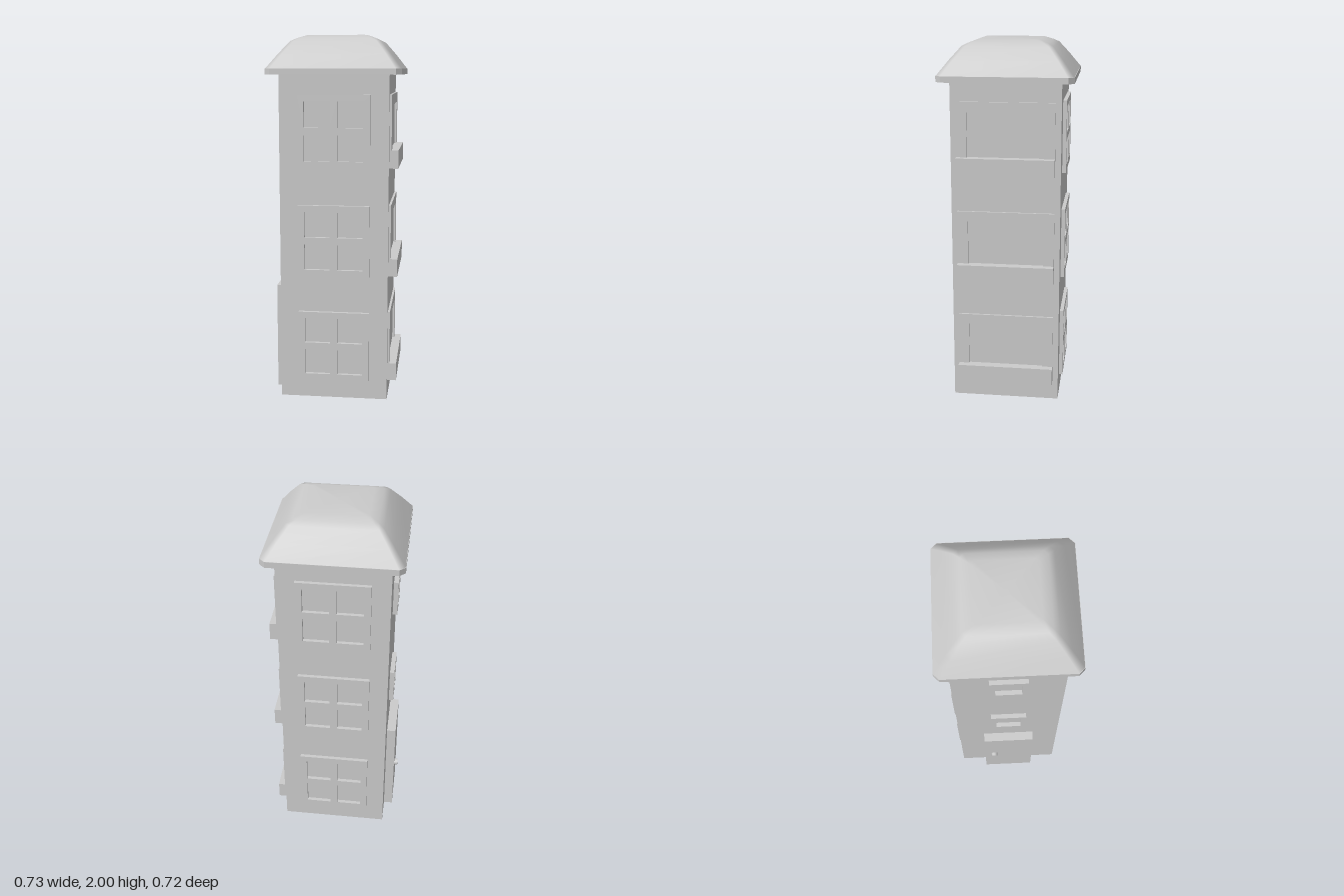
import * as THREE from 'three';

const material = new THREE.MeshStandardMaterial({ color: 0xcccccc });
const HALF = 0.296; // half width of the tower
const STOREY = 0.595;

function mesh(name, geometry, parent) {
  const m = new THREE.Mesh(geometry, material);
  m.name = name;
  parent.add(m);
  return m;
}

// Box given by its minimum and maximum corners
function box(name, [x0, y0, z0], [x1, y1, z1], parent) {
  const m = mesh(name, new THREE.BoxGeometry(x1 - x0, y1 - y0, z1 - z0), parent);
  m.position.set((x0 + x1) / 2, (y0 + y1) / 2, (z0 + z1) / 2);
  return m;
}

function trace(path, x0, y0, x1, y1) {
  path.moveTo(x0, y0).lineTo(x1, y0).lineTo(x1, y1).lineTo(x0, y1).closePath();
  return path;
}

// Flat frame with rectangular openings, facing +z
function frameGeometry(outer, openings, depth) {
  const shape = trace(new THREE.Shape(), ...outer);
  for (const o of openings) shape.holes.push(trace(new THREE.Path(), ...o));
  return new THREE.ExtrudeGeometry(shape, { depth, bevelEnabled: false });
}

// Group whose local +z points out of one wall
function wallGroup(name, angle, parent) {
  const g = new THREE.Group();
  g.name = name;
  g.rotation.y = angle;
  parent.add(g);
  return g;
}

// Closed loft through square rings with cut corners: [half width, cut, height]
function loft(rings) {
  const pos = [], index = [];
  for (const [h, c, y] of rings) {
    const k = h - c;
    for (const [x, z] of [[h, k], [h, -k], [k, -h], [-k, -h], [-h, -k], [-h, k], [-k, h], [k, h]]) pos.push(x, y, z);
  }
  const last = (rings.length - 1) * 8;
  pos.push(0, rings[0][2], 0, 0, rings[rings.length - 1][2], 0);
  for (let i = 0; i < 8; i++) {
    const j = (i + 1) % 8;
    for (let r = 0; r < last; r += 8) {
      index.push(r + i, r + j, r + 8 + j, r + i, r + 8 + j, r + 8 + i);
    }
    index.push(last + 8, j, i, last + 9, last + i, last + j);
  }
  const g = new THREE.BufferGeometry();
  g.setAttribute('position', new THREE.Float32BufferAttribute(pos, 3));
  g.setIndex(index);
  return g;
}

export function createModel() {
  const model = new THREE.Group();
  model.name = 'tower';

  box('walls', [-HALF, 0, -HALF], [HALF, 1.79, HALF], model);

  // Roof: flat eave slab and a softly shaded dome
  const eave = loft([[0.362, 0.03, 1.79], [0.362, 0.03, 1.822]]).toNonIndexed();
  eave.computeVertexNormals();
  mesh('eave', eave, model);
  const dome = loft([[0.36, 0.03, 1.822], [0.3, 0.026, 1.9], [0.243, 0.022, 1.967], [0.212, 0.02, 1.983], [0.164, 0.016, 2]]);
  // The underside keeps its own centre, so drop it to leave the rim shading clean
  dome.setIndex([...dome.index.array].filter((_, n, a) => {
    const t = n - (n % 3);
    return a[t] !== 40;
  }));
  dome.computeVertexNormals();
  mesh('roofDome', dome, model);

  // Four-pane windows, front and back
  const panes = [];
  for (const x of [-0.16, 0.02]) for (const y of [-0.16, 0.02]) panes.push([x, y, x + 0.14, y + 0.14]);
  const windowFrame = frameGeometry([-0.196, -0.196, 0.196, 0.196], panes, 0.02);
  for (const [side, angle] of [['front', 0], ['back', Math.PI]]) {
    const wall = wallGroup(side + 'Windows', angle, model);
    for (let i = 0; i < 3; i++) {
      mesh(side + 'Window', windowFrame, wall).position.set(0, 0.3 + i * STOREY, HALF);
    }
  }

  // Wide windows with balcony ledges on the left wall
  const left = wallGroup('balconies', Math.PI / 2, model);
  const wideFrame = frameGeometry([-0.265, 0, 0.265, 0.394], [[-0.207, 0.06, 0.207, 0.338]], 0.012);
  for (let i = 0; i < 3; i++) {
    const y = 0.102 + i * STOREY;
    mesh('wideWindow', wideFrame, left).position.set(0, y, HALF);
    box('balconyLedge', [-0.265, y, HALF], [0.265, y + 0.098, 0.345], left);
  }

  // Door with knob and two small windows on the right wall
  const right = wallGroup('entrance', -Math.PI / 2, model);
  box('door', [-0.147, 0, HALF], [0.147, 0.6, 0.346], right);
  const knob = mesh('doorKnob', new THREE.CylinderGeometry(0.019, 0.019, 0.019, 20), right);
  knob.rotation.x = Math.PI / 2;
  knob.position.set(-0.089, 0.302, 0.3555);
  const smallFrame = frameGeometry([-0.1, -0.1, 0.1, 0.1], [[-0.07, -0.07, 0.07, 0.07]], 0.025);
  for (let i = 1; i < 3; i++) {
    mesh('smallWindow', smallFrame, right).position.set(0, 0.3 + i * STOREY, HALF);
  }

  return model;
}
